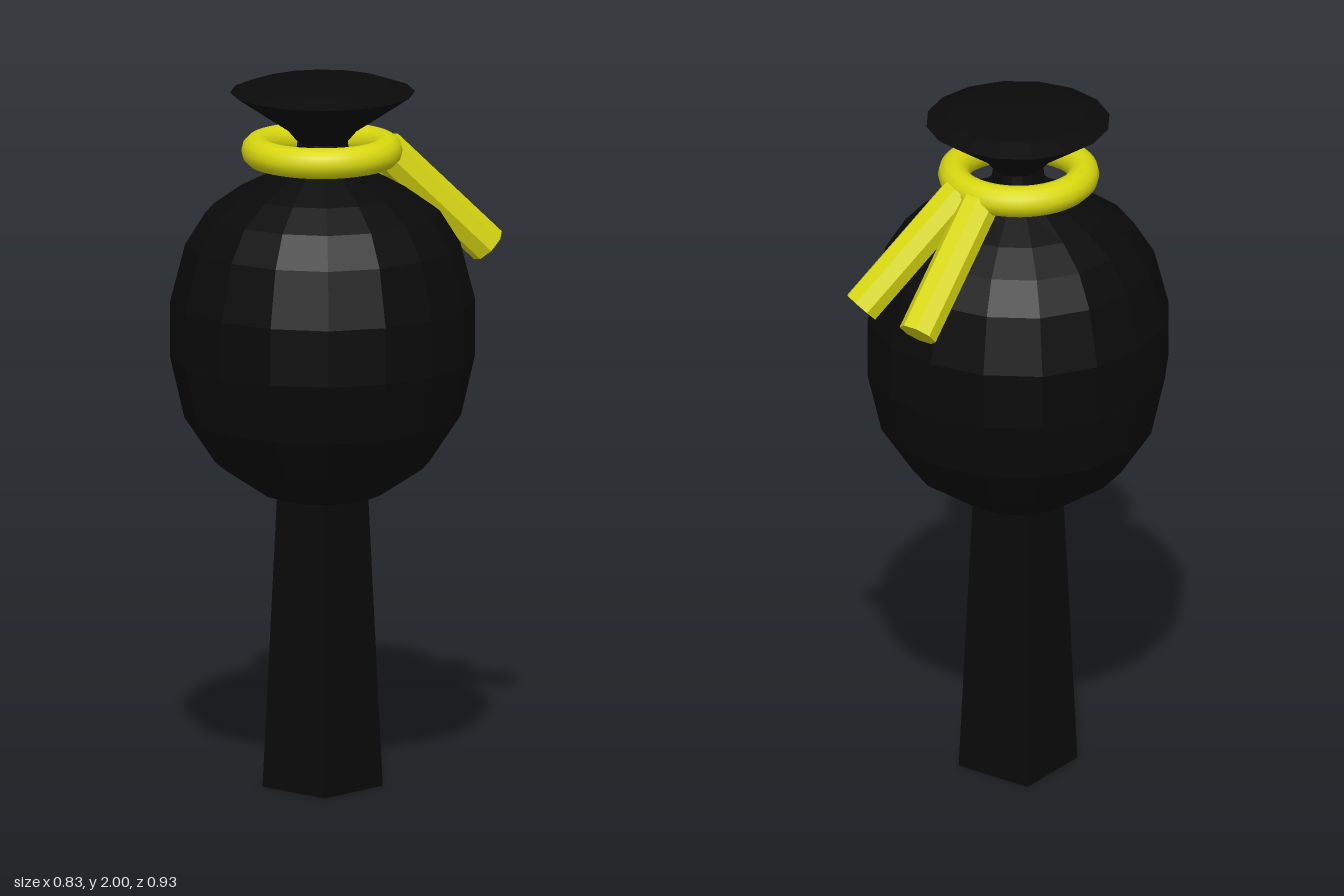
import * as THREE from 'three';

const AXIS_Z = 0.05; // upright axis of the body sits slightly forward

const dark = new THREE.MeshStandardMaterial({ color: 0x0a0a0a, flatShading: true });
const yellow = new THREE.MeshStandardMaterial({ color: 0xd8d810 });
const yellowFlat = new THREE.MeshStandardMaterial({ color: 0xd8d810, flatShading: true });

function add(group, name, geometry, material) {
  const mesh = new THREE.Mesh(geometry, material);
  mesh.name = name;
  group.add(mesh);
  return mesh;
}

// Sixteen-sided turned form from [radius, height] pairs
function turned(points) {
  return new THREE.LatheGeometry(points.map(([r, y]) => new THREE.Vector2(r, y)), 16);
}

// Eight-sided rod between two points
function rod(group, name, from, to, radius) {
  const a = new THREE.Vector3(...from), b = new THREE.Vector3(...to);
  const dir = b.clone().sub(a);
  const mesh = add(group, name, new THREE.CylinderGeometry(radius, radius, dir.length(), 8), yellowFlat);
  mesh.geometry.rotateY(Math.PI / 8);
  mesh.position.copy(a).add(b).multiplyScalar(0.5);
  mesh.quaternion.setFromUnitVectors(new THREE.Vector3(0, 1, 0), dir.normalize());
}

export function createModel() {
  const model = new THREE.Group();
  model.name = 'tiedBag';

  // Square handle, tapering upward into the body
  const handle = new THREE.CylinderGeometry(0.087 * Math.SQRT2, 0.118 * Math.SQRT2, 0.9, 4);
  handle.rotateY(Math.PI / 4);
  add(model, 'handle', handle, dark).position.set(0, 0.45, AXIS_Z);

  // Rounded body, pinched neck and flared top in one skin
  const body = turned([
    [0, 0.81], [0.09, 0.815], [0.165, 0.835], [0.29, 0.92], [0.375, 1.05],
    [0.413, 1.22], [0.413, 1.38], [0.373, 1.54], [0.318, 1.63], [0.235, 1.69],
    [0.12, 1.75], [0.075, 1.79], [0.07, 1.83], [0.1, 1.865], [0.19, 1.925],
    [0.257, 1.97], [0.19, 1.993], [0, 2],
  ]);
  // Slightly fuller on the diagonals
  const p = body.attributes.position;
  for (let i = 0; i < p.count; i++) {
    const x = p.getX(i), z = p.getZ(i);
    const k = 1 + 0.025 * Math.sin(2 * Math.atan2(z, x)) ** 2;
    if (p.getY(i) < 1.72) p.setXYZ(i, x * k, p.getY(i), z * k);
  }
  add(model, 'body', body, dark).position.z = AXIS_Z;

  // Cord ring around the neck
  const ring = new THREE.TorusGeometry(0.18, 0.044, 12, 48);
  ring.rotateX(Math.PI / 2);
  add(model, 'cordRing', ring, yellow).position.set(0, 1.805, AXIS_Z + 0.003);

  // Two cord ends hanging down the back
  rod(model, 'cordEndCentre', [0, 1.795, -0.12], [0, 1.495, -0.427], 0.055);
  rod(model, 'cordEndSide', [0.07, 1.795, -0.125], [0.225, 1.5, -0.382], 0.055);

  return model;
}
